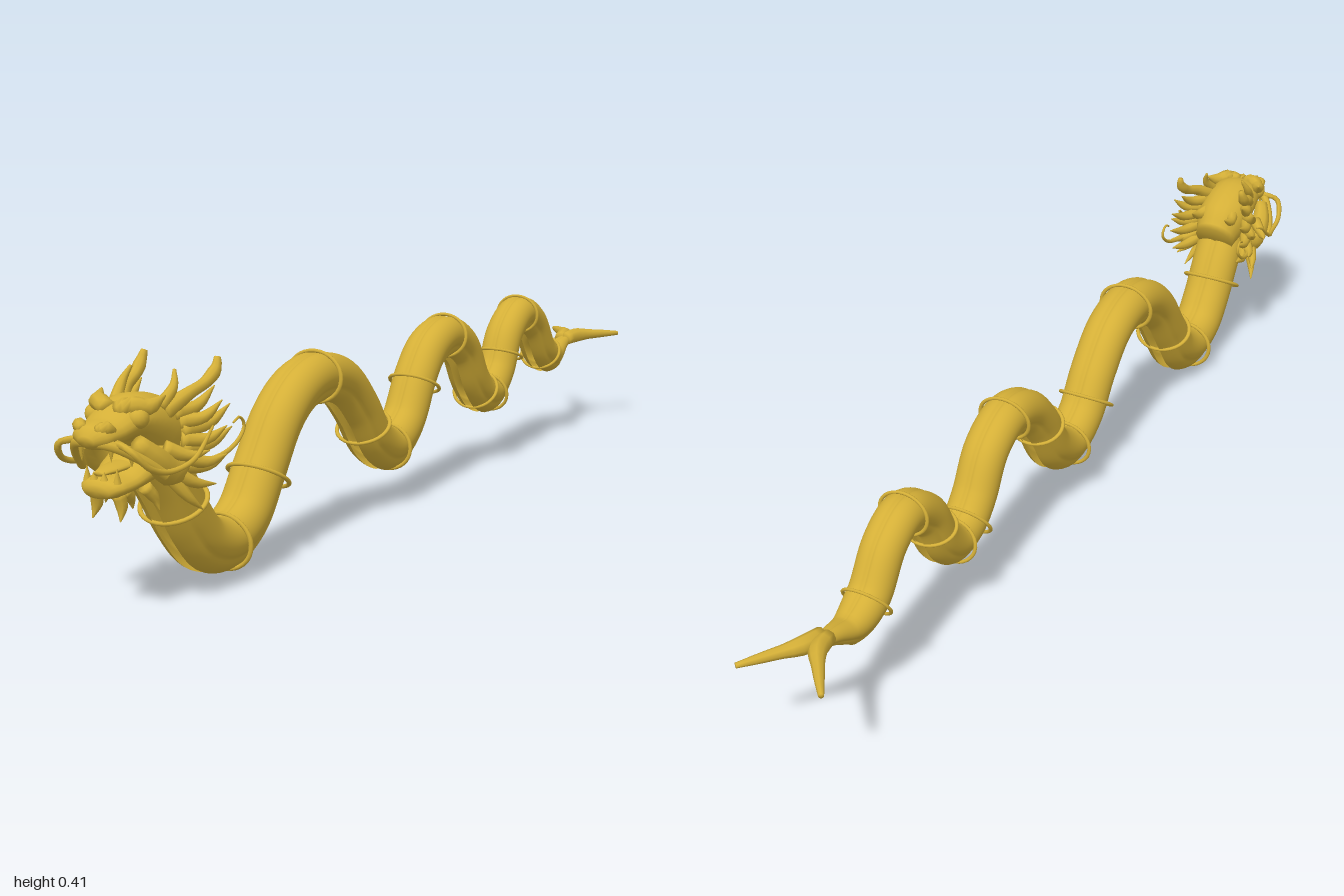
import * as THREE from 'three';

const gold = new THREE.MeshStandardMaterial({ color: 0xd4af37, side: THREE.DoubleSide });
gold.name = 'gold';
const V = (x, y, z) => new THREE.Vector3(x, y, z);
const X = V(1, 0, 0);

// Side, up and tangent directions of a curve at u
function frame(curve, u) {
  const t = curve.getTangentAt(u);
  const side = X.clone().addScaledVector(t, -t.x).normalize();
  return { p: curve.getPointAt(u), t, side, up: side.clone().cross(t) };
}

// Skin a curve with cross-sections: section(u) gives [across, up] points
function loft(curve, steps, section, closed = true) {
  const pos = [], idx = [];
  let n = 0;
  for (let i = 0; i <= steps; i++) {
    const f = frame(curve, i / steps), s = section(i / steps);
    n = s.length;
    for (const [a, b] of s) {
      const q = f.p.clone().addScaledVector(f.side, a).addScaledVector(f.up, b);
      pos.push(q.x, q.y, q.z);
    }
  }
  for (let i = 0; i < steps; i++) for (let j = 0; j < (closed ? n : n - 1); j++) {
    const a = i * n + j, d = i * n + (j + 1) % n;
    idx.push(a, d, a + n, d, d + n, a + n);
  }
  if (closed) for (const end of [0, steps]) {
    const c = curve.getPointAt(end / steps), k = pos.length / 3;
    pos.push(c.x, c.y, c.z);
    for (let j = 0; j < n; j++) {
      const a = end * n + j, b = end * n + (j + 1) % n;
      if (end) idx.push(k, a, b); else idx.push(k, b, a);
    }
  }
  const g = new THREE.BufferGeometry();
  g.setAttribute('position', new THREE.Float32BufferAttribute(pos, 3));
  g.setIndex(idx);
  g.computeVertexNormals();
  return g;
}

const oval = (w, h, n = 10) => Array.from({ length: n }, (_, j) => {
  const a = j / n * Math.PI * 2;
  return [w * Math.sin(a), h * Math.cos(a)];
});

// Linear lookup in a list of evenly spaced values
function pick(list, u) {
  const k = Math.min(u * (list.length - 1), list.length - 1.0001), i = Math.floor(k);
  return THREE.MathUtils.lerp(list[i], list[i + 1], k - i);
}

function add(group, name, geometry) {
  const m = new THREE.Mesh(geometry, gold);
  m.name = name;
  group.add(m);
  return m;
}

// Tapered strand through points, made on both sides
function strands(group, name, pts, radii, steps = 10, sides = 8) {
  for (const s of [1, -1]) {
    const c = new THREE.CatmullRomCurve3(pts.map(([x, y, z]) => V(x * s, y, z)));
    const label = (s > 0 ? 'left' : 'right') + name;
    add(group, label, loft(c, steps, u => oval(pick(radii, u), pick(radii, u), sides)));
  }
}

// Solid of rounded sections [z, y, halfWidth, halfHeight], listed front to back
function shell(rows, steps = 20) {
  const c = new THREE.CatmullRomCurve3(rows.map(r => V(0, r[1], r[0])));
  const w = new THREE.SplineCurve(rows.map((r, i) => new THREE.Vector2(r[2], r[3])));
  return loft(c, steps, u => {
    const p = w.getPoint(c.getUtoTmapping(u));
    return oval(p.x, p.y, 18);
  });
}

function buildBody(group) {
  // Waving spine from neck to tail, as [z, y]
  const spine = new THREE.CatmullRomCurve3([
    [.84, .265], [.79, .2], [.74, .125], [.69, .075], [.62, .057], [.55, .087], [.49, .165],
    [.43, .245], [.37, .288], [.3, .303], [.22, .283], [.15, .22], [.09, .145], [.02, .115],
    [-.05, .15], [-.11, .24], [-.16, .29], [-.23, .308], [-.3, .275], [-.35, .2], [-.39, .163],
    [-.44, .152], [-.49, .19], [-.535, .27], [-.6, .307], [-.66, .28], [-.72, .205],
    [-.78, .182], [-.84, .2], [-.9, .215],
  ].map(([z, y]) => V(0, y, z)));
  spine.arcLengthDivisions = 600;
  const radius = z => z > -.72 ? THREE.MathUtils.lerp(.041, .054, (z + .72) / 1.56)
    : THREE.MathUtils.lerp(.013, .041, THREE.MathUtils.smoothstep(z, -.9, -.72));

  // Fluted hide: three lobes on each side, slit along the belly
  const slit = .2, n = 60;
  add(group, 'body', loft(spine, 200, u => {
    const z = spine.getPointAt(u).z, R = radius(z);
    return Array.from({ length: n + 1 }, (_, j) => {
      const a = (j / n * 2 - 1) * (Math.PI - slit);
      const r = R * (.84 + .18 * Math.sqrt(Math.abs(Math.sin(a * 1.5))));
      return [r * Math.sin(a), r * Math.cos(a) * (z < -.8 ? .85 : 1)];
    });
  }, false));

  // Hoops around the body
  const hoops = [.765, .62, .5, .3, .115, .02, -.1, -.23, -.385, -.44, -.51, -.6, -.73];
  hoops.forEach((z, i) => {
    let best = 0;
    for (let k = 0; k <= 600; k++)
      if (Math.abs(spine.getPointAt(k / 600).z - z) < Math.abs(spine.getPointAt(best).z - z)) best = k / 600;
    const f = frame(spine, best), R = radius(z);
    const hoop = add(group, 'hoop' + (i + 1), new THREE.TorusGeometry(1, .075, 8, 32));
    hoop.scale.set(R * 1.18, R * 1.0, R);
    hoop.quaternion.setFromRotationMatrix(new THREE.Matrix4().makeBasis(f.side, f.up, f.t.clone().negate()));
    hoop.position.copy(f.p);
  });

  // Forked tail
  strands(group, 'TailProng', [[.006, .212, -.86], [.014, .216, -.9], [.045, .216, -.945], [.085, .214, -.997]],
    [.016, .018, .012, .009, .005]);
}

function buildHead(group) {
  add(group, 'skull', shell([
    [.998, .308, .016, .01], [.985, .312, .036, .021], [.95, .316, .043, .024], [.92, .325, .05, .03],
    [.89, .328, .056, .04], [.85, .315, .06, .05], [.81, .29, .058, .058], [.77, .262, .045, .045],
  ]));
  add(group, 'lowerJaw', shell([
    [.975, .222, .026, .012], [.96, .225, .042, .018], [.92, .23, .048, .019],
    [.88, .245, .055, .03], [.84, .262, .056, .04], [.8, .262, .045, .045],
  ]));
  add(group, 'tongue', shell([[.968, .25, .01, .004], [.94, .252, .02, .007], [.87, .255, .025, .008]], 8));

  // Arched upper lip
  const lip = new THREE.CatmullRomCurve3([
    V(-.084, .243, .9), V(-.065, .275, .94), V(-.035, .3, .975), V(0, .305, .986),
    V(.035, .3, .975), V(.065, .275, .94), V(.084, .243, .9)]);
  add(group, 'upperLip', new THREE.TubeGeometry(lip, 30, .009, 8));

  strands(group, 'Cheek', [[.05, .3, .93], [.062, .27, .9], [.062, .24, .86], [.055, .25, .81]], [.014, .022, .026, .016]);
  strands(group, 'Brow', [[.008, .348, .925], [.03, .357, .92], [.05, .352, .9], [.064, .368, .87]], [.014, .016, .014, .002]);
  strands(group, 'Nostril', [[.012, .325, .985], [.025, .33, .98], [.032, .322, .965]], [.008, .012, .006], 6);
  for (const s of [1, -1]) {
    const side = s > 0 ? 'left' : 'right';
    add(group, side + 'Eye', new THREE.SphereGeometry(.018, 14, 10)).position.set(s * .043, .336, .915);
    // Fangs
    [[.03, .287, .972, .03, Math.PI], [.05, .272, .945, .022, Math.PI], [.03, .248, .958, .026, 0], [.01, .247, .966, .014, 0]]
      .forEach(([x, y, z, h, turn], i) => {
        const fang = add(group, side + 'Fang' + (i + 1), new THREE.ConeGeometry(.007, h, 8));
        fang.position.set(s * x, y, z);
        fang.rotation.x = turn;
      });
  }

  // Horns with a short branch
  strands(group, 'Horn', [[.045, .335, .85], [.064, .36, .805], [.073, .375, .765], [.077, .395, .742], [.075, .412, .735]],
    [.016, .014, .011, .01, .012, .006], 16);
  strands(group, 'HornBranch', [[.045, .345, .86], [.052, .375, .83], [.044, .4, .815]], [.012, .009, .003]);

  // Mane locks sweeping back, as root and tip
  [
    [.05, .33, .83, .075, .365, .745], [.055, .315, .82, .1, .345, .76], [.058, .3, .82, .085, .33, .715],
    [.058, .285, .82, .102, .3, .75], [.058, .27, .82, .085, .29, .71], [.056, .255, .82, .098, .25, .745],
    [.054, .24, .82, .08, .245, .715], [.055, .24, .85, .095, .205, .775], [.05, .235, .85, .085, .165, .8],
    [.03, .32, .8, .04, .335, .73], [.06, .28, .87, .108, .27, .81],
  ].forEach(([a, b, c, x, y, z], i) => strands(group, 'ManeLock' + (i + 1),
    [[a, b, c], [(a + x) / 2 + .006, (b + y) / 2 - .01, (c + z) / 2], [x, y, z]], [.014, .012, .008, .001], 8));

  // Chin beard
  [[.022, .215, .945, .028, .17, .95], [.04, .22, .9, .055, .178, .88], [.014, .215, .92, .016, .18, .9]]
    .forEach(([a, b, c, x, y, z], i) => strands(group, 'BeardLock' + (i + 1),
      [[a, b, c], [(a + x) / 2, (b + y) / 2, (c + z) / 2 - .006], [x, y, z]], [.012, .01, .001], 6));

  // Long whiskers and curled strands
  strands(group, 'Whisker', [[.04, .305, .97], [.072, .295, .975], [.088, .265, .95], [.092, .25, .9], [.104, .262, .85], [.103, .3, .8], [.098, .305, .785]],
    [.006, .006, .005, .005, .004, .002], 28, 6);
  strands(group, 'Curl', [[.06, .25, .83], [.085, .245, .77], [.093, .262, .71], [.094, .288, .686], [.093, .305, .698], [.092, .298, .716]],
    [.008, .006, .005, .004, .003, .002], 24, 6);
}

export function createModel() {
  const model = new THREE.Group();
  model.name = 'dragon';
  for (const [name, build] of [['bodyAndTail', buildBody], ['head', buildHead]]) {
    const part = new THREE.Group();
    part.name = name;
    build(part);
    model.add(part);
  }
  return model;
}
